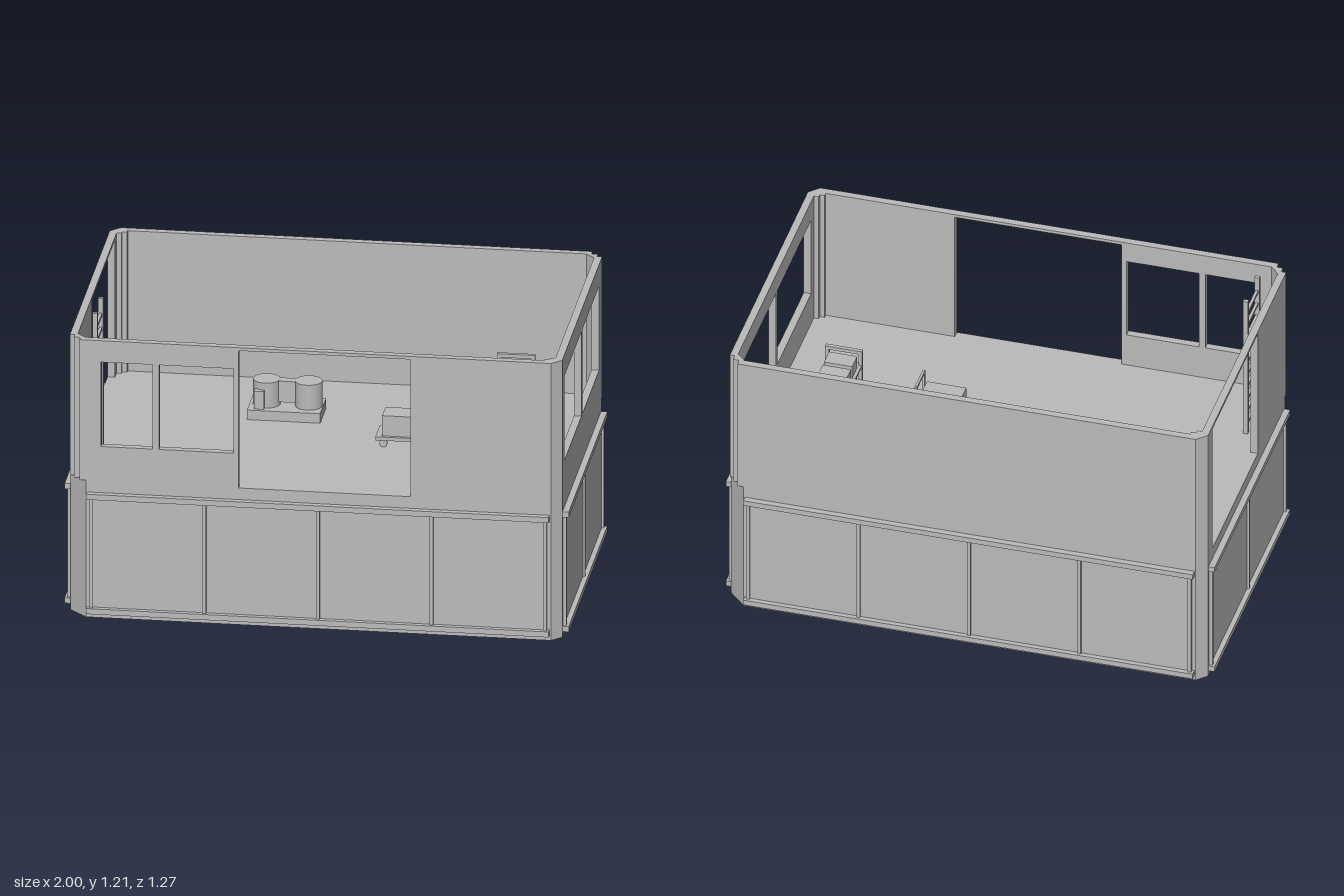
import * as THREE from 'three';

const grey = new THREE.MeshStandardMaterial({ color: 0xbbbbbb });
grey.name = 'plain grey';

const FLOOR = 0.575, TOP = 1.165;

function add(parent, name, geometry) {
  const mesh = new THREE.Mesh(geometry, grey);
  mesh.name = name;
  parent.add(mesh);
  return mesh;
}

// Box given by its limits on each axis
function box(parent, name, x0, x1, y0, y1, z0, z1) {
  const mesh = add(parent, name, new THREE.BoxGeometry(x1 - x0, y1 - y0, z1 - z0));
  mesh.position.set((x0 + x1) / 2, (y0 + y1) / 2, (z0 + z1) / 2);
  return mesh;
}

function cylinder(parent, name, radius, height, x, y, z) {
  const mesh = add(parent, name, new THREE.CylinderGeometry(radius, radius, height, 24));
  mesh.position.set(x, y, z);
  return mesh;
}

// Upright prism from an [x, z] plan
function prism(parent, name, plan, y0, y1) {
  const shape = new THREE.Shape(plan.map(([x, z]) => new THREE.Vector2(x, -z)));
  const geometry = new THREE.ExtrudeGeometry(shape, { depth: y1 - y0, bevelEnabled: false });
  geometry.rotateX(-Math.PI / 2);
  const mesh = add(parent, name, geometry);
  mesh.position.y = y0;
  return mesh;
}

// Thin wall in the xy plane; openings are [u0, u1, v0, v1]
function wall(parent, name, u0, u1, openings) {
  const rect = (Type, a, b, c, d) => new Type([[a, c], [b, c], [b, d], [a, d]].map(p => new THREE.Vector2(...p)));
  const shape = rect(THREE.Shape, u0, u1, FLOOR - 0.005, TOP);
  openings.forEach(o => shape.holes.push(rect(THREE.Path, ...o)));
  return add(parent, name, new THREE.ExtrudeGeometry(shape, { depth: 0.03, bevelEnabled: false }));
}

// Framed strip of panels: u runs along the wall, z is the wall face
function panelStrip(parent, name, u0, u1, face, count) {
  const g = new THREE.Group();
  g.name = name;
  box(g, 'panelBacking', u0 + 0.01, u1 - 0.01, 0.03, 0.52, face - 0.01, face + 0.005);
  for (const y of [0.022, 0.503]) box(g, 'rail', u0, u1, y, y + 0.023, face - 0.01, face + 0.025);
  const a = u0 + 0.016, b = u1 - 0.016;
  for (let i = 0; i <= count; i++) {
    const u = a + (b - a) * i / count;
    box(g, 'panelPost', u - 0.007, u + 0.007, 0.04, 0.51, face - 0.01, face + 0.014);
  }
  parent.add(g);
  return g;
}

export function createModel() {
  const model = new THREE.Group();
  model.name = 'roomModule';

  // Solid base with two narrow and two wide cut corners
  prism(model, 'base', [
    [0.975, 0.57], [0.935, 0.61], [-0.905, 0.61], [-0.975, 0.54],
    [-0.975, -0.57], [-0.935, -0.61], [0.905, -0.61], [0.975, -0.54],
  ].reverse(), 0, FLOOR);

  // Panel strips and upper corners, repeated by a half turn
  for (const turn of [0, Math.PI]) {
    const half = new THREE.Group();
    half.name = turn ? 'backHalfTrim' : 'frontHalfTrim';
    half.rotation.y = turn;
    panelStrip(half, 'longPanels', -0.9, 0.93, 0.61, 4);
    const side = panelStrip(half, 'shortPanels', -0.565, 0.53, 0.975, 2);
    side.rotation.y = Math.PI / 2;
    // Corner cut outside and stepped inside
    prism(half, 'cutCorner', [
      [0.975, 0.53], [0.975, 0.57], [0.935, 0.61], [0.89, 0.61], [0.89, 0.58],
      [0.905, 0.58], [0.905, 0.565], [0.925, 0.565], [0.925, 0.55], [0.945, 0.55], [0.945, 0.53],
    ], FLOOR, TOP);
    // Corner stepped outside and cut inside
    prism(half, 'steppedCorner', [
      [0.975, -0.53], [0.975, -0.56], [0.955, -0.56], [0.955, -0.585], [0.93, -0.585],
      [0.93, -0.61], [0.89, -0.61], [0.89, -0.58], [0.91, -0.58], [0.945, -0.545], [0.945, -0.53],
    ].reverse(), FLOOR, TOP);
    model.add(half);
  }

  // Upper walls
  const front = wall(model, 'frontWall', -0.89, 0.89, [
    [-0.845, -0.64, 0.72, 1.075], [-0.615, -0.32, 0.72, 1.075], [-0.3, 0.38, FLOOR, 1.152],
  ]);
  front.position.z = 0.58;
  wall(model, 'backWall', -0.89, 0.89, []).position.z = -0.61;
  const left = wall(model, 'leftWall', -0.53, 0.53, [[-0.51, -0.025, 0.72, 1.075], [0, 0.475, 0.72, 1.075]]);
  left.rotation.y = Math.PI / 2;
  left.position.x = 0.945;
  const right = wall(model, 'rightWall', -0.53, 0.53, [[-0.15, 0.505, FLOOR, 1.152]]);
  right.rotation.y = Math.PI / 2;
  right.position.x = -0.975;

  // Ladder
  const ladder = new THREE.Group();
  ladder.name = 'ladder';
  for (const z of [0.264, 0.43]) box(ladder, 'ladderRail', -0.902, -0.882, FLOOR, 1.213, z, z + 0.016);
  for (let i = 0; i < 10; i++) {
    const y = 0.615 + i * 0.059;
    box(ladder, 'rung', -0.898, -0.886, y - 0.006, y + 0.006, 0.275, 0.435);
  }
  model.add(ladder);

  // Shelf rack with rows of boxes
  const rack = new THREE.Group();
  rack.name = 'shelfRack';
  for (const z of [0.02, -0.287]) {
    for (const x of [0.6, 0.735]) box(rack, 'rackPost', x, x + 0.015, FLOOR, 0.848, z, z + 0.016);
    box(rack, 'rackEndBar', 0.6, 0.75, 0.833, 0.848, z, z + 0.016);
  }
  for (const y of [0.6, 0.685, 0.77]) {
    box(rack, 'shelf', 0.602, 0.748, y, y + 0.01, -0.293, 0.04);
    for (let i = 0; i < 3; i++) {
      const z = -0.25 + i * 0.091;
      box(rack, 'storageBox', 0.615, 0.73, y + 0.01, y + 0.065, z, z + 0.072);
    }
  }
  model.add(rack);

  // Machine with two tanks on a plinth
  const machine = new THREE.Group();
  machine.name = 'tankUnit';
  box(machine, 'plinth', -0.37, -0.08, FLOOR, 0.615, -0.295, -0.125);
  for (const x of [-0.303, -0.137]) cylinder(machine, 'tank', 0.054, 0.105, x, 0.667, -0.21);
  box(machine, 'tankLink', -0.27, -0.17, 0.63, 0.718, -0.23, -0.19);
  box(machine, 'controlBox', -0.345, -0.305, 0.615, 0.69, -0.17, -0.14);
  model.add(machine);

  // Hand cart
  const cart = new THREE.Group();
  cart.name = 'cart';
  box(cart, 'cartDeck', 0.17, 0.38, 0.605, 0.62, -0.02, 0.103);
  box(cart, 'cartLoad', 0.195, 0.355, 0.62, 0.705, -0.005, 0.09);
  for (const z of [-0.018, 0.091]) box(cart, 'handlePost', 0.365, 0.375, 0.62, 0.75, z, z + 0.01);
  box(cart, 'handleBar', 0.365, 0.375, 0.74, 0.75, -0.018, 0.101);
  for (const x of [0.2, 0.35]) for (const z of [-0.005, 0.088]) {
    cylinder(cart, 'wheel', 0.016, 0.014, x, 0.591, z).rotation.x = Math.PI / 2;
  }
  model.add(cart);

  return model;
}
